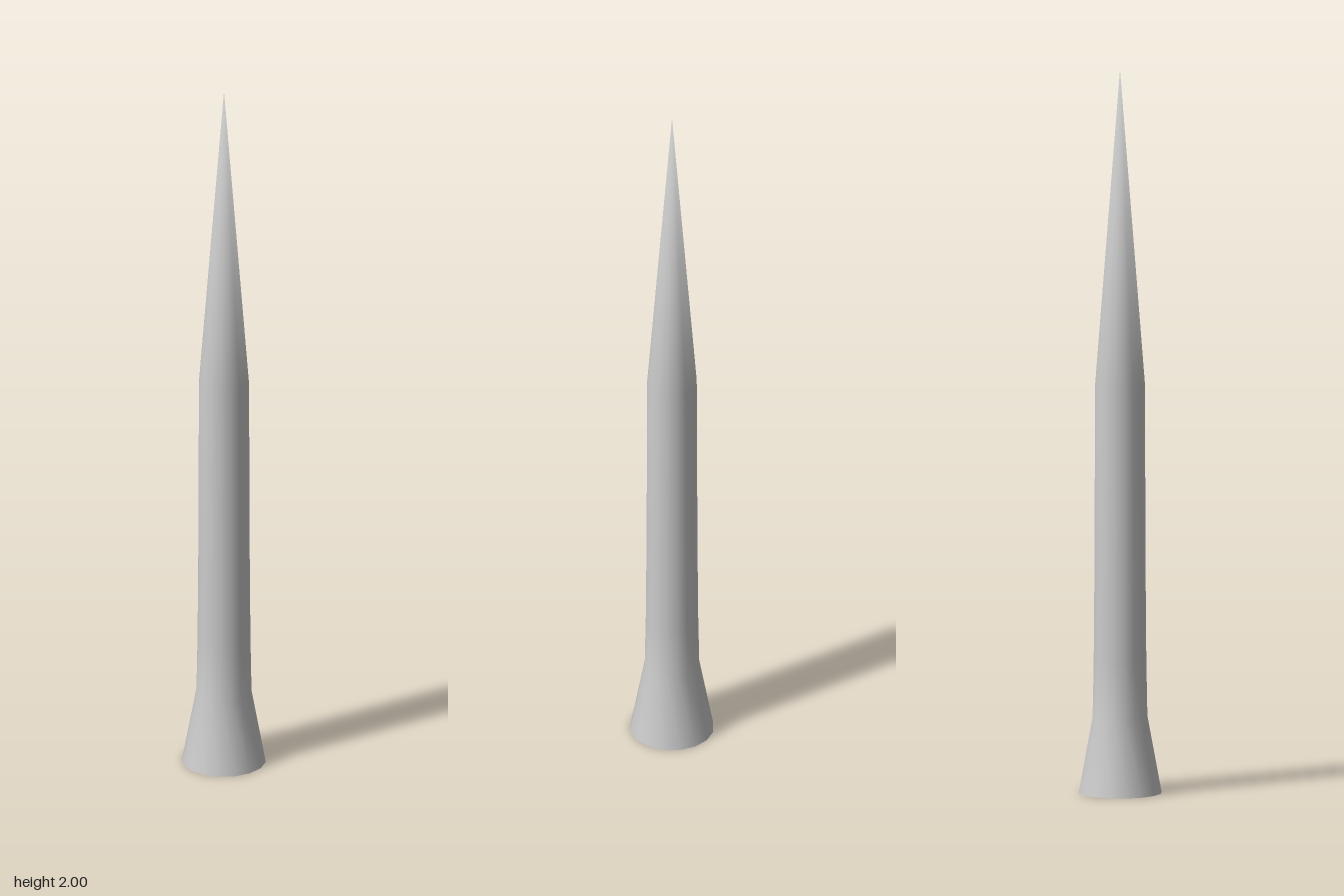
import * as THREE from 'three';
import { mergeVertices } from 'three/addons/utils/BufferGeometryUtils.js';

const SIDES = 16;

// Outline as [radius, height], from the open foot to the sharp tip
const PROFILE = [
  [0.115, 0],
  [0.076, 0.21],
  [0.073, 0.36],
  [0.071, 0.6],
  [0.069, 1.13],
  [0, 2],
];

// Revolve a profile, then weld seam and tip so the shading runs smoothly over both
function smoothLathe(profile, sides) {
  const lathe = new THREE.LatheGeometry(profile.map(([r, y]) => new THREE.Vector2(r, y)), sides);
  lathe.deleteAttribute('normal');
  lathe.deleteAttribute('uv');
  const geometry = mergeVertices(lathe, 1e-5);

  // Drop the collapsed triangles at the tip
  const old = geometry.index.array;
  const index = [];
  for (let i = 0; i < old.length; i += 3) {
    const [a, b, c] = [old[i], old[i + 1], old[i + 2]];
    if (a !== b && b !== c && c !== a) index.push(a, b, c);
  }
  geometry.setIndex(index);
  geometry.computeVertexNormals();
  return geometry;
}

export function createModel() {
  const group = new THREE.Group();
  group.name = 'spike';

  // Hollow shell: flared foot, slightly tapering shaft and long point
  const material = new THREE.MeshStandardMaterial({ color: 0xcccccc, side: THREE.DoubleSide });
  const shell = new THREE.Mesh(smoothLathe(PROFILE, SIDES), material);
  shell.name = 'spikeShell';
  group.add(shell);

  return group;
}
